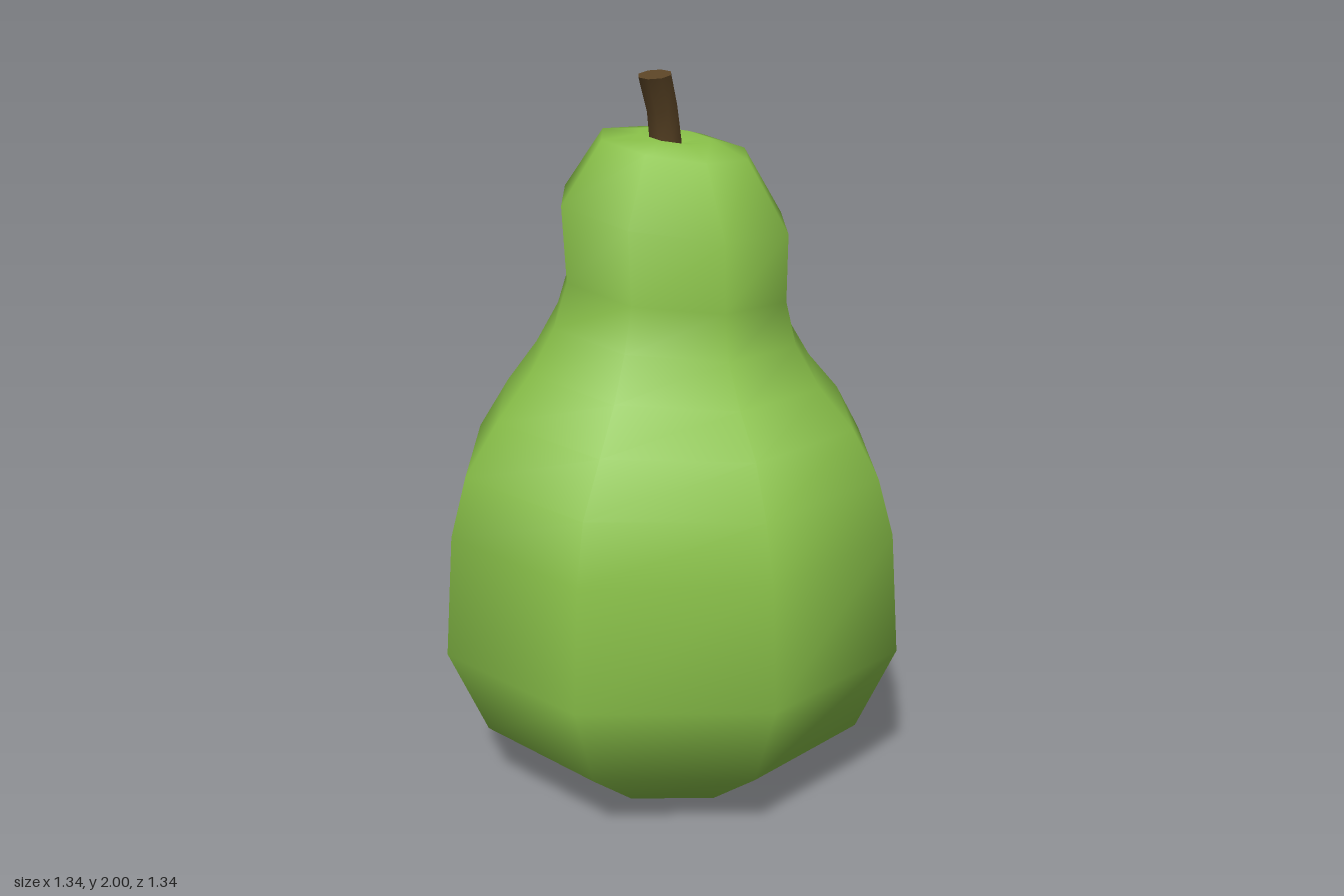
import * as THREE from 'three';

const SIDES = 8;

// Lofts eight-sided rings [radius, cx, cy, cz, slopeX, slopeZ] from bottom to top.
// A repeated ring makes a sharp edge; a ring of radius 0 closes an end.
function loft(rings) {
  const positions = [];
  const index = [];
  rings.forEach(([r, cx, cy, cz = 0, slopeX = 0, slopeZ = 0], i) => {
    for (let j = 0; j < SIDES; j++) {
      const a = (j / SIDES) * Math.PI * 2;
      const x = r * Math.cos(a);
      const z = r * Math.sin(a);
      positions.push(cx + x, cy + x * slopeX + z * slopeZ, cz + z);
      if (i === rings.length - 1) continue;
      const k = (j + 1) % SIDES;
      const p = i * SIDES + j;
      const q = i * SIDES + k;
      if (r > 0) index.push(p, p + SIDES, q);
      if (rings[i + 1][0] > 0) index.push(q, p + SIDES, q + SIDES);
    }
  });
  const geometry = new THREE.BufferGeometry();
  geometry.setAttribute('position', new THREE.Float32BufferAttribute(positions, 3));
  geometry.setIndex(index);
  geometry.computeVertexNormals();
  return geometry;
}

export function createModel() {
  const skin = new THREE.MeshStandardMaterial({ color: 0x8bc34a });
  skin.name = 'pear green';
  const bark = new THREE.MeshStandardMaterial({ color: 0x5c4526 });
  bark.name = 'stem brown';

  // Fruit: wide belly, narrow neck whose rings lean to one side, dimpled top
  const fruit = new THREE.Mesh(loft([
    [0, 0, 0],
    [0.305, 0, 0],
    [0.56, 0, 0.19],
    [0.67, 0, 0.44],
    [0.645, 0, 0.78],
    [0.6, 0, 0.94, 0, -0.01],
    [0.515, 0.01, 1.08, 0, -0.03],
    [0.42, 0.01, 1.195, 0, -0.06],
    [0.35, 0.01, 1.31, 0, -0.085],
    [0.315, 0.015, 1.43, 0, -0.1],
    [0.322, 0.01, 1.625, 0, -0.14],
    [0.207, 0.01, 1.8, 0, -0.15],
    [0.1, 0.01, 1.822, 0, -0.15],
    [0, 0.01, 1.8],
  ]), skin);
  fruit.name = 'fruit';

  // Stem: leans forward with one bend, cut flat at the tip
  const tip = [0.045, 0, 1.992, 0.113, 0, -0.18];
  const stem = new THREE.Mesh(loft([
    [0.045, 0, 1.76, 0.03, 0, -0.15],
    [0.045, 0, 1.81, 0.037, 0, -0.18],
    [0.043, 0, 1.9, 0.062, 0, -0.2],
    tip,
    tip,
    [0, 0, 1.992, 0.113],
  ]), bark);
  stem.name = 'stem';

  const pear = new THREE.Group();
  pear.name = 'pear';
  pear.add(fruit, stem);
  return pear;
}
